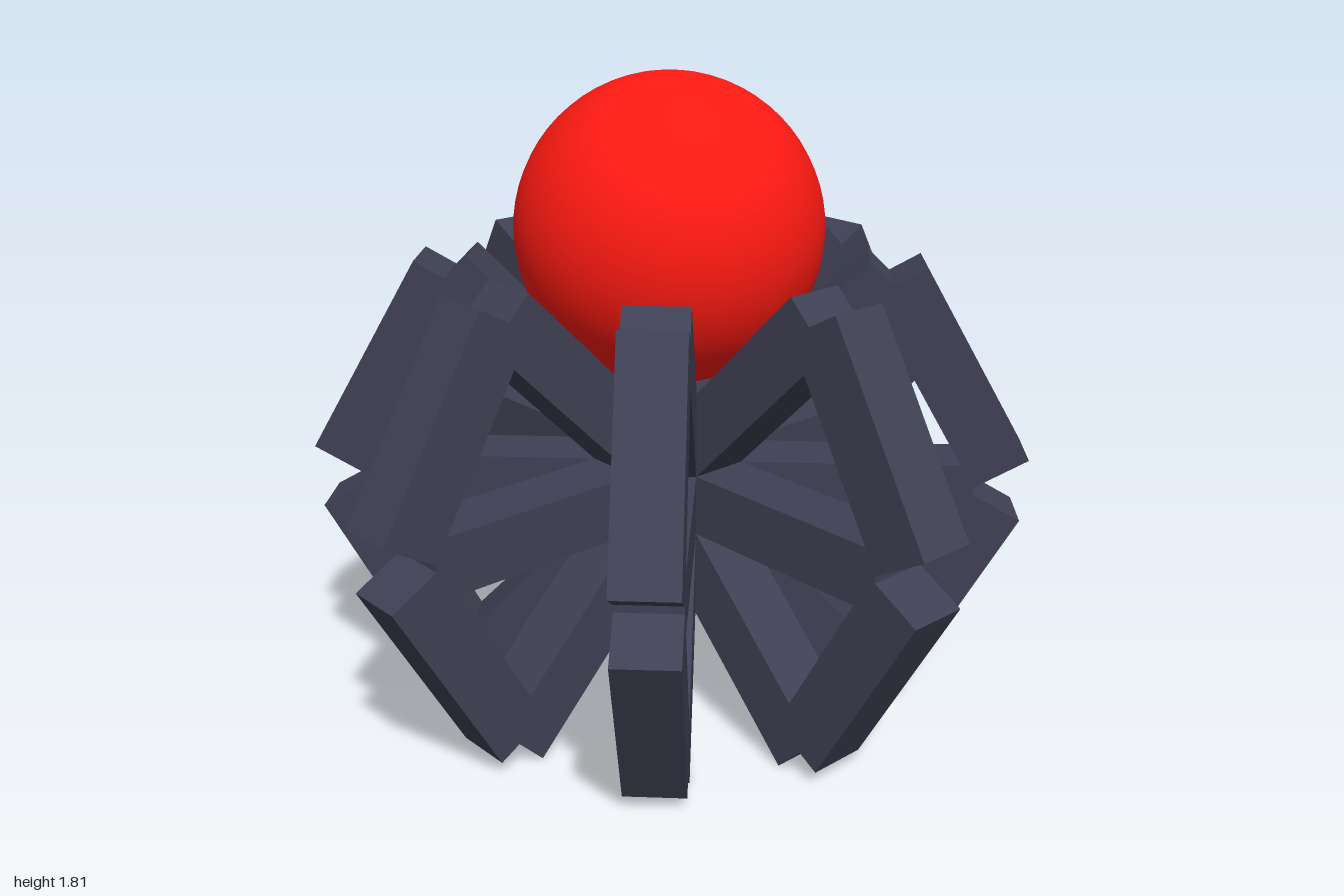
import * as THREE from 'three';

const BAR = 0.17;      // square bar section
const HUB_Y = 0.664;   // height where all spokes cross
const SPOKE = 1.704;   // full spoke length, through the hub
const RIM = 0.625;     // rim bar length

export function createModel() {
  const model = new THREE.Group();
  const barMat = new THREE.MeshStandardMaterial({ color: 0x404055, flatShading: true });
  const ballMat = new THREE.MeshStandardMaterial({ color: 0xff1a12 });

  // square bar lying in an arm's vertical plane: centre (r, y), tilted by degrees
  const bar = (name, length, r, y, degrees) => {
    const mesh = new THREE.Mesh(new THREE.BoxGeometry(length, BAR, BAR), barMat);
    mesh.name = name;
    mesh.position.set(r, y, 0);
    mesh.rotation.z = THREE.MathUtils.degToRad(degrees);
    return mesh;
  };

  for (let i = 0; i < 8; i++) {
    const arm = new THREE.Group();
    arm.name = `arm${i + 1}`;
    arm.rotation.y = (i * Math.PI) / 4;

    // spokes run right through the hub, so each serves two opposite arms
    if (i < 4) arm.add(bar('levelSpoke', SPOKE, 0, HUB_Y, 0));
    arm.add(bar('diagonalSpoke', SPOKE, 0, HUB_Y, 45));

    // outer bars bridging the spoke ends
    arm.add(bar('upperRim', RIM, 0.771, 0.998, -60.3));
    arm.add(bar('lowerRim', RIM, 0.758, 0.358, 60.5));
    model.add(arm);
  }

  // ball cradled on top
  const ball = new THREE.Mesh(new THREE.SphereGeometry(0.422, 48, 32), ballMat);
  ball.name = 'ball';
  ball.position.y = 1.392;
  model.add(ball);

  return model;
}
